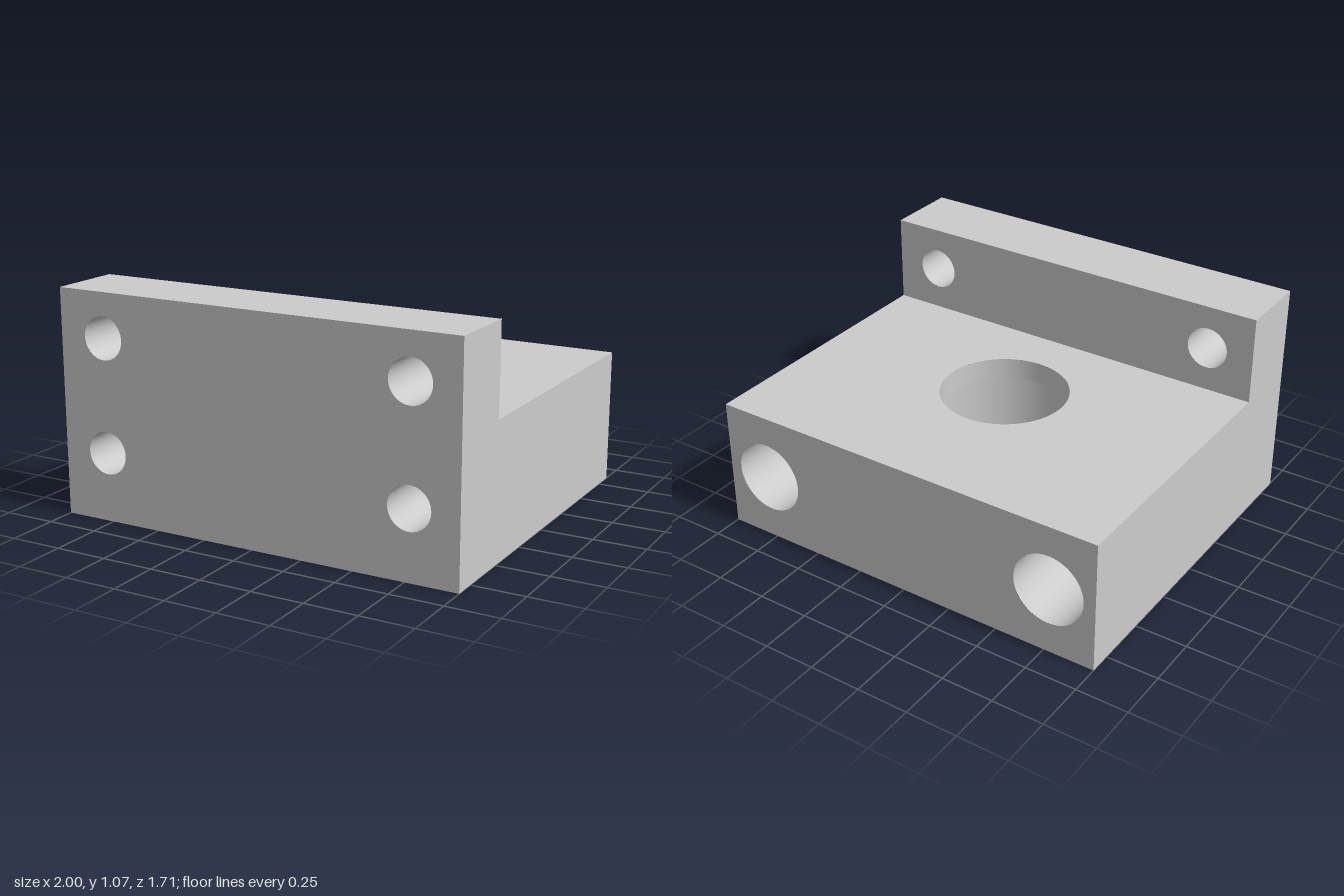
import * as THREE from 'three';

const W = 1, D = 0.857, H = 1.071, DECK = 0.645, WALL_Z = 0.5; // half width, half depth, heights, wall's rear face
const SEG = 64;
const BOLT_X = 0.768, LOW_Y = 0.325, HIGH_Y = 0.86, BOLT_R = 0.101;
const BORE_R = 0.174, BORE_Z = -0.037;
const material = new THREE.MeshStandardMaterial({ color: 0xcccccc });

// Flat outline with round holes [x, y, r]
function plate(points, holes = []) {
  const shape = new THREE.Shape(points.map(([x, y]) => new THREE.Vector2(x, y)));
  for (const [x, y, r] of holes) {
    shape.holes.push(new THREE.Path().absarc(x, y, r, 0, Math.PI * 2, true));
  }
  return new THREE.ShapeGeometry(shape, SEG);
}

const rect = (x0, y0, x1, y1) => [[x0, y0], [x1, y0], [x1, y1], [x0, y1]];
const pair = (x, y, r) => [[x, y, r], [-x, y, r]];

export function createModel() {
  const model = new THREE.Group();

  const add = (name, geometry, parent = model) => {
    const mesh = new THREE.Mesh(geometry, material);
    mesh.name = name;
    parent.add(mesh);
    return mesh;
  };

  // Inner surface of a hole: profile of [radius, depth], starting at the mouth
  const bore = (name, profile, position, outward) => {
    const group = new THREE.Group();
    group.name = name;
    for (let i = 1; i < profile.length; i++) {
      const ends = [profile[i - 1], profile[i]].map(([r, d]) => new THREE.Vector2(r, -d));
      add(name + 'Surface', new THREE.LatheGeometry(ends, SEG), group);
    }
    group.position.set(...position);
    group.quaternion.setFromUnitVectors(new THREE.Vector3(0, 1, 0), new THREE.Vector3(...outward));
    model.add(group);
  };

  // Pin and screw holes in the underside: [x, z, radius, depth]
  const bottomHoles = [];
  for (const s of [-1, 1]) {
    bottomHoles.push([s * 0.445, -0.68, 0.105, 0.36]);
    for (const t of [-1, 1]) bottomHoles.push([s * 0.428, BORE_Z + t * 0.25, 0.044, 0.36]);
  }

  // Front and rear faces of the block and upright wall
  add('frontFace', plate(rect(-W, 0, W, H),
    [...pair(BOLT_X, LOW_Y, BOLT_R), ...pair(BOLT_X, HIGH_Y, BOLT_R)]).translate(0, 0, D));
  add('wallRearFace', plate(rect(-W, DECK, W, H), pair(BOLT_X, HIGH_Y, BOLT_R))
    .rotateY(Math.PI).translate(0, 0, WALL_Z));
  add('backFace', plate(rect(-W, 0, W, DECK), pair(BOLT_X, LOW_Y, BORE_R))
    .rotateY(Math.PI).translate(0, 0, -D));

  // Horizontal faces
  add('deckTop', plate(rect(-W, -WALL_Z, W, D), [[0, -BORE_Z, 0.305]])
    .rotateX(-Math.PI / 2).translate(0, DECK, 0));
  add('wallTop', plate(rect(-W, -D, W, -WALL_Z)).rotateX(-Math.PI / 2).translate(0, H, 0));
  add('underside', plate(rect(-W, -D, W, D), [[0, BORE_Z, 0.394], ...bottomHoles])
    .rotateX(Math.PI / 2));

  // L-shaped sides
  for (const s of [-1, 1]) {
    const outline = [[-D, 0], [D, 0], [D, DECK], [-WALL_Z, DECK], [-WALL_Z, H], [-D, H]]
      .map(([x, y]) => [s * x, y]);
    add(s > 0 ? 'leftSide' : 'rightSide',
      plate(outline).rotateY(s * Math.PI / 2).translate(s * W, 0, 0));
  }

  // Stepped centre bore, open at both ends with a thin lip on top
  bore('centreBore', [[0.394, 0], [0.394, 0.538], [0.305, 0.538], [0.305, DECK]],
    [0, 0, BORE_Z], [0, -1, 0]);

  // Upper bolt holes through the wall, lower ones counterbored from the back
  for (const s of [-1, 1]) {
    bore('upperBoltHole', [[BOLT_R, 0], [BOLT_R, D - WALL_Z]], [s * BOLT_X, HIGH_Y, D], [0, 0, 1]);
    bore('lowerBoltHole',
      [[BORE_R, 0], [BORE_R, D + WALL_Z], [BOLT_R, D + WALL_Z], [BOLT_R, 2 * D]],
      [s * BOLT_X, LOW_Y, -D], [0, 0, -1]);
  }

  // Blind holes in the underside
  for (const [x, z, r, depth] of bottomHoles) {
    bore(r > 0.1 ? 'pinHole' : 'screwHole', [[r, 0], [r, depth], [0, depth]], [x, 0, z], [0, -1, 0]);
  }

  return model;
}
